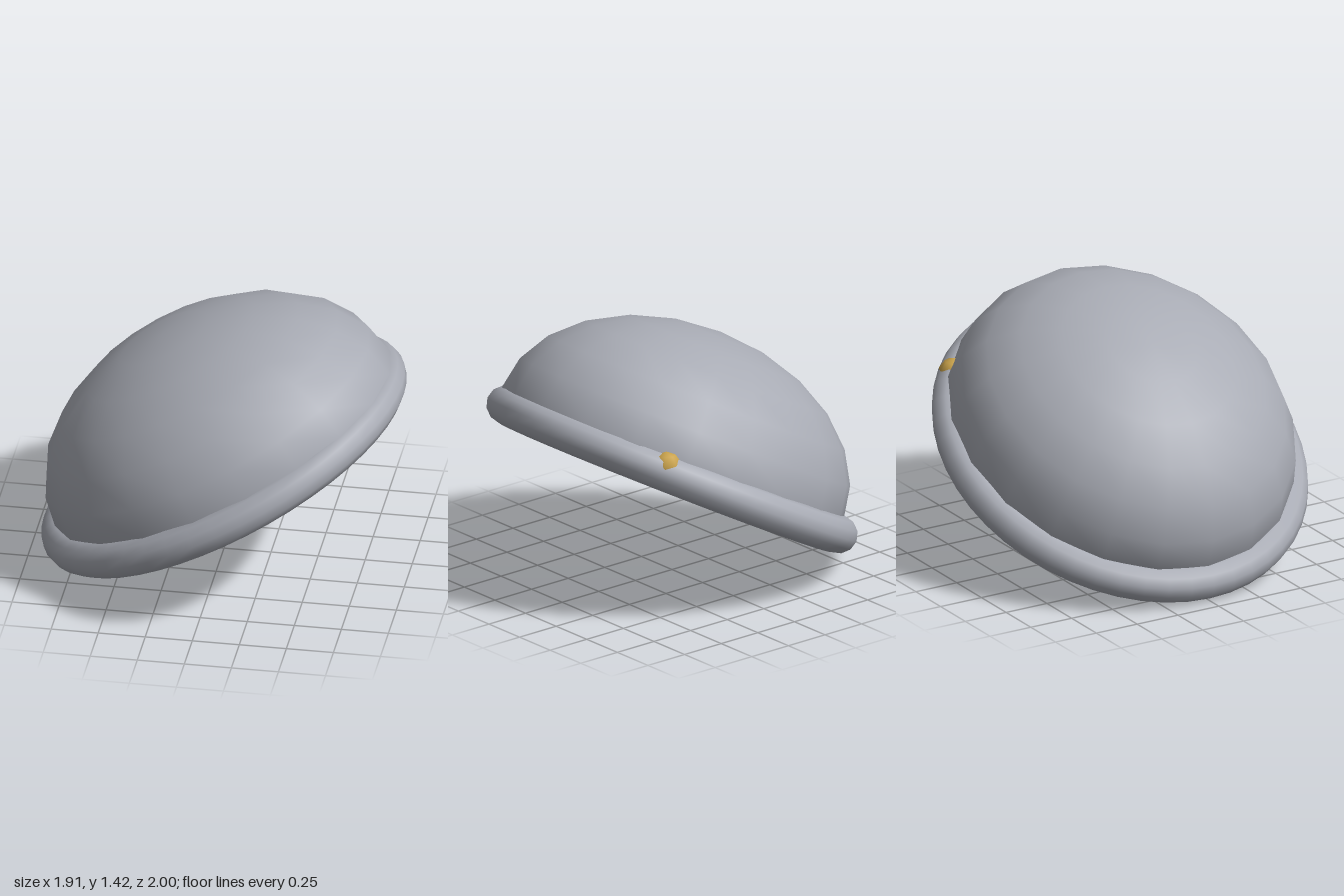
import * as THREE from 'three';

const TILT = 0.495; // the whole helmet leans, raised on +x

export function createModel() {
  const model = new THREE.Group();
  model.name = 'helmet';
  const steel = new THREE.MeshStandardMaterial({ color: 0xa8abb4, side: THREE.DoubleSide });
  steel.name = 'steel grey';
  const brass = new THREE.MeshStandardMaterial({ color: 0xc9a24a });
  brass.name = 'brass';

  function add(name, geometry, material, x, y, z, tilt = 0) {
    const mesh = new THREE.Mesh(geometry, material);
    mesh.name = name;
    mesh.position.set(x, y, z);
    mesh.rotation.z = tilt;
    model.add(mesh);
  }

  // Open, flattened half dome, slightly longer along x
  const dome = new THREE.SphereGeometry(1, 20, 6, 0, Math.PI * 2, 0, Math.PI / 2);
  dome.scale(1.005, 0.685, 0.92);
  add('dome', dome, steel, -0.005, 0.65, 0, TILT);

  // Rolled oval rim
  const rim = new THREE.TorusGeometry(0.9, 0.1, 12, 48);
  rim.rotateX(Math.PI / 2);
  rim.scale(1.075, 1, 1);
  add('rim', rim, steel, 0, 0.56, 0, TILT);

  // Rivets: two inside the dome, one breaking through the rim
  const rivet = new THREE.SphereGeometry(0.084, 8, 5);
  const rivets = [[0.61, 0.915, 0], [0.2, 0.91, 0.655], [0.59, 0.913, -0.66]];
  rivets.forEach(([x, y, z], i) => add('rivet' + (i + 1), rivet, brass, x, y, z));

  return model;
}
